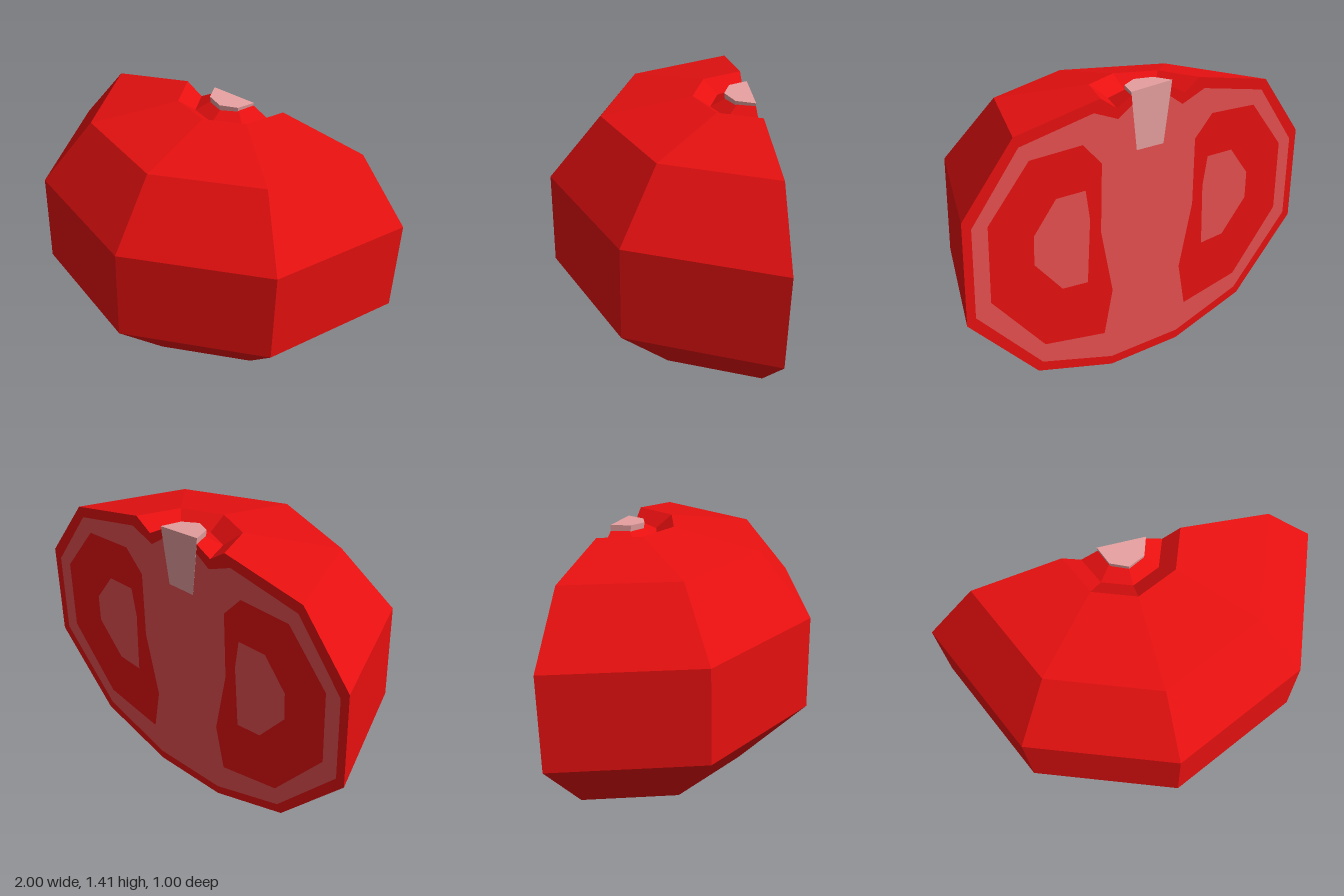
import * as THREE from 'three';

const CUT = -0.5; // z of the flat cut face, which also holds the axis

// Half profile of the skin as [radius, y], from the base up to the stem
const SKIN = [[0, 0], [0.21, 0], [0.64, 0.13], [1, 0.5], [1, 0.99], [0.74, 1.31],
  [0.29, 1.395], [0.2, 1.335], [0.117, 1.38]];
// Inner edge of the skin on the cut face
const FLESH = [[0, 0.045], [0.21, 0.045], [0.615, 0.17], [0.955, 0.525], [0.955, 0.95], [0.715, 1.26],
  [0.325, 1.335], [0.19, 1.282], [0.111, 1.335]];
// Seed chamber and its core on the cut face
const CHAMBER = [[0.877, 0.575], [0.877, 0.94], [0.665, 1.19], [0.385, 1.2], [0.28, 1.09], [0.282, 0.75],
  [0.21, 0.42], [0.256, 0.195], [0.6, 0.26]];
const CORE = [[0.65, 0.69], [0.65, 0.83], [0.53, 0.98], [0.37, 0.98], [0.345, 0.83], [0.357, 0.51],
  [0.5, 0.522]];
const STEM = { top: 0.12, bottom: 0.08, low: 1.11, high: 1.403, tilt: 0.065 };

export function createModel() {
  const red = new THREE.MeshStandardMaterial({ color: 0xf01111 });
  red.name = 'skin red';
  const pink = new THREE.MeshStandardMaterial({ color: 0xf05353 });
  pink.name = 'flesh pink';
  const pale = new THREE.MeshStandardMaterial({ color: 0xf0a6a6 });
  pale.name = 'stem pale pink';

  const model = new THREE.Group();
  model.name = 'halfFruit';

  const add = (name, geometry, material) => {
    const mesh = new THREE.Mesh(geometry, material);
    mesh.name = name;
    mesh.position.z = CUT;
    model.add(mesh);
  };
  const faceted = (geometry) => {
    const flat = geometry.toNonIndexed();
    flat.computeVertexNormals();
    return flat;
  };
  const mirror = (points) => points.map(([x, y]) => [-x, y]);
  // Flat face on the cut, turned to look backwards
  const cutFace = (name, points, material, holes = []) => {
    const toVectors = (list) => list.map(([x, y]) => new THREE.Vector2(-x, y));
    const shape = new THREE.Shape(toVectors(points));
    holes.forEach((hole) => shape.holes.push(new THREE.Path(toVectors(hole))));
    add(name, new THREE.ShapeGeometry(shape).rotateY(Math.PI), material);
  };

  // Outer skin: half of an eight-sided lathe, dimpled around the stem
  const profile = SKIN.map(([r, y]) => new THREE.Vector2(r, y));
  add('skin', faceted(new THREE.LatheGeometry(profile, 4, -Math.PI / 2, Math.PI)), red);

  // Cut face: skin rim, flesh, seed chambers and cores fitted edge to edge
  const rim = [...SKIN, ...[...FLESH].reverse()];
  const half = [...FLESH, [STEM.bottom, STEM.low], [0, STEM.low]];
  for (const [side, place] of [['left', (p) => p], ['right', mirror]]) {
    cutFace(side + 'SkinRim', place(rim), red);
    cutFace(side + 'Flesh', place(half), pink, [place(CHAMBER)]);
    cutFace(side + 'SeedChamber', place(CHAMBER), red, [place(CORE)]);
    cutFace(side + 'ChamberCore', place(CORE), pink);
  }

  // Stem: half of a tapered eight-sided plug with a slanted top
  const { top, bottom, low, high, tilt } = STEM;
  const plug = new THREE.CylinderGeometry(top, bottom, high - low, 4, 1, false, -Math.PI / 2, Math.PI);
  plug.scale(1, 1, 1.12).translate(0, (high + low) / 2, 0);
  const position = plug.attributes.position;
  for (let i = 0; i < position.count; i++) {
    if (position.getY(i) > low + 0.1) position.setY(i, high - tilt * position.getX(i));
  }
  add('stem', faceted(plug), pale);
  cutFace('stemCut', [[bottom, low], [top, high - tilt * top], [-top, high + tilt * top], [-bottom, low]], pale);

  return model;
}
